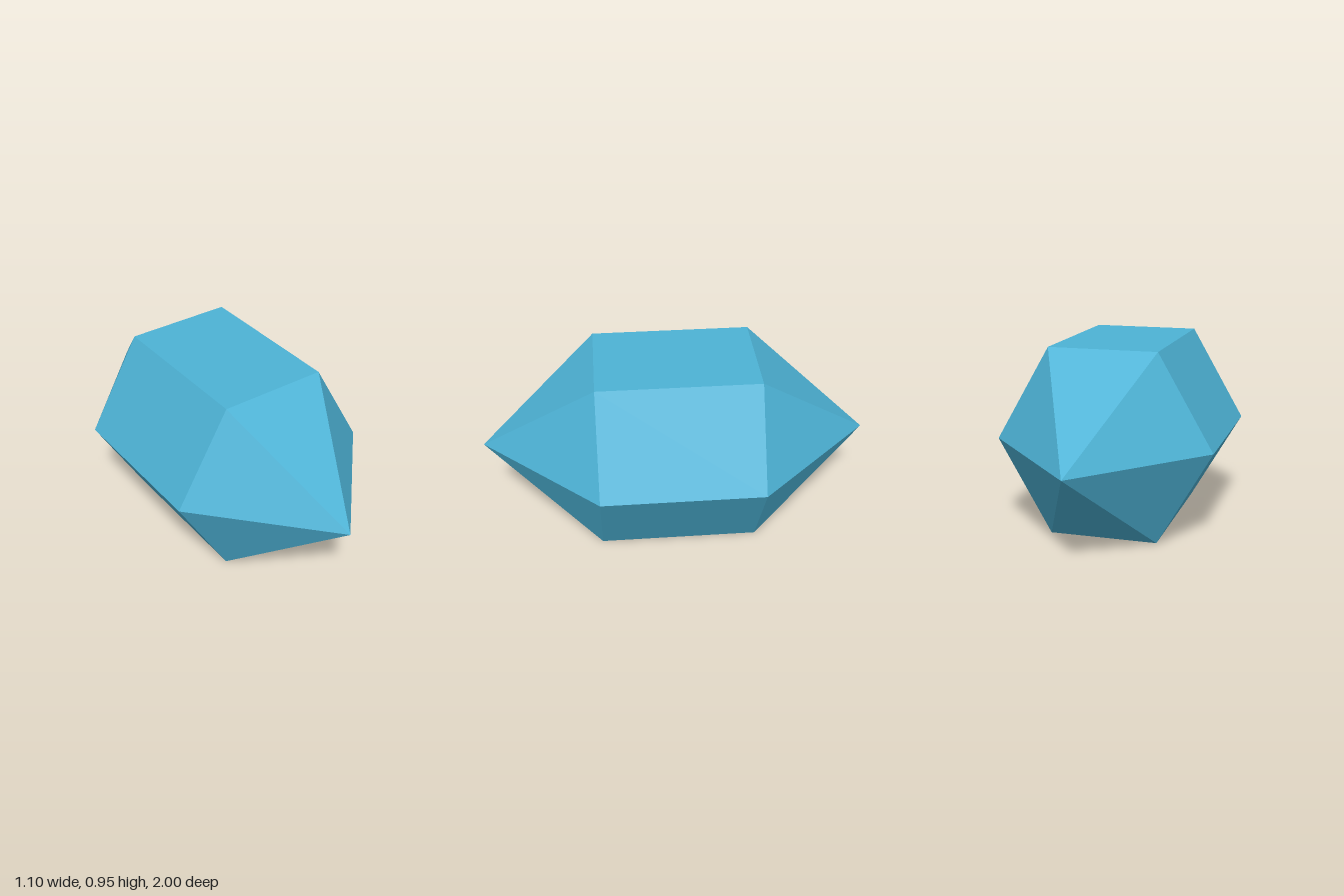
import * as THREE from 'three';

const RADIUS = 0.55, HALF = 0.406, TIP = 1 - HALF;
const CENTRE_Y = RADIUS * Math.sqrt(3) / 2;
const START = Math.PI / 6; // puts two corners on the x axis

export function createModel() {
  const crystal = new THREE.MeshStandardMaterial({ color: 0x4db3d6, flatShading: true });
  crystal.name = 'crystal blue';

  const group = new THREE.Group();
  group.name = 'crystal';

  const add = (name, geometry) => {
    const flat = geometry.toNonIndexed();
    flat.computeVertexNormals();
    const mesh = new THREE.Mesh(flat, crystal);
    mesh.name = name;
    mesh.position.y = CENTRE_Y;
    group.add(mesh);
  };

  // Six-sided shaft lying along z
  add('shaft', new THREE.CylinderGeometry(RADIUS, RADIUS, HALF * 2, 6, 1, true, START)
    .rotateX(Math.PI / 2));

  // Pointed ends
  for (const [name, side] of [['frontTip', 1], ['backTip', -1]]) {
    add(name, new THREE.ConeGeometry(RADIUS, TIP, 6, 1, true, START)
      .translate(0, HALF + TIP / 2, 0)
      .rotateX(side * Math.PI / 2));
  }
  return group;
}
